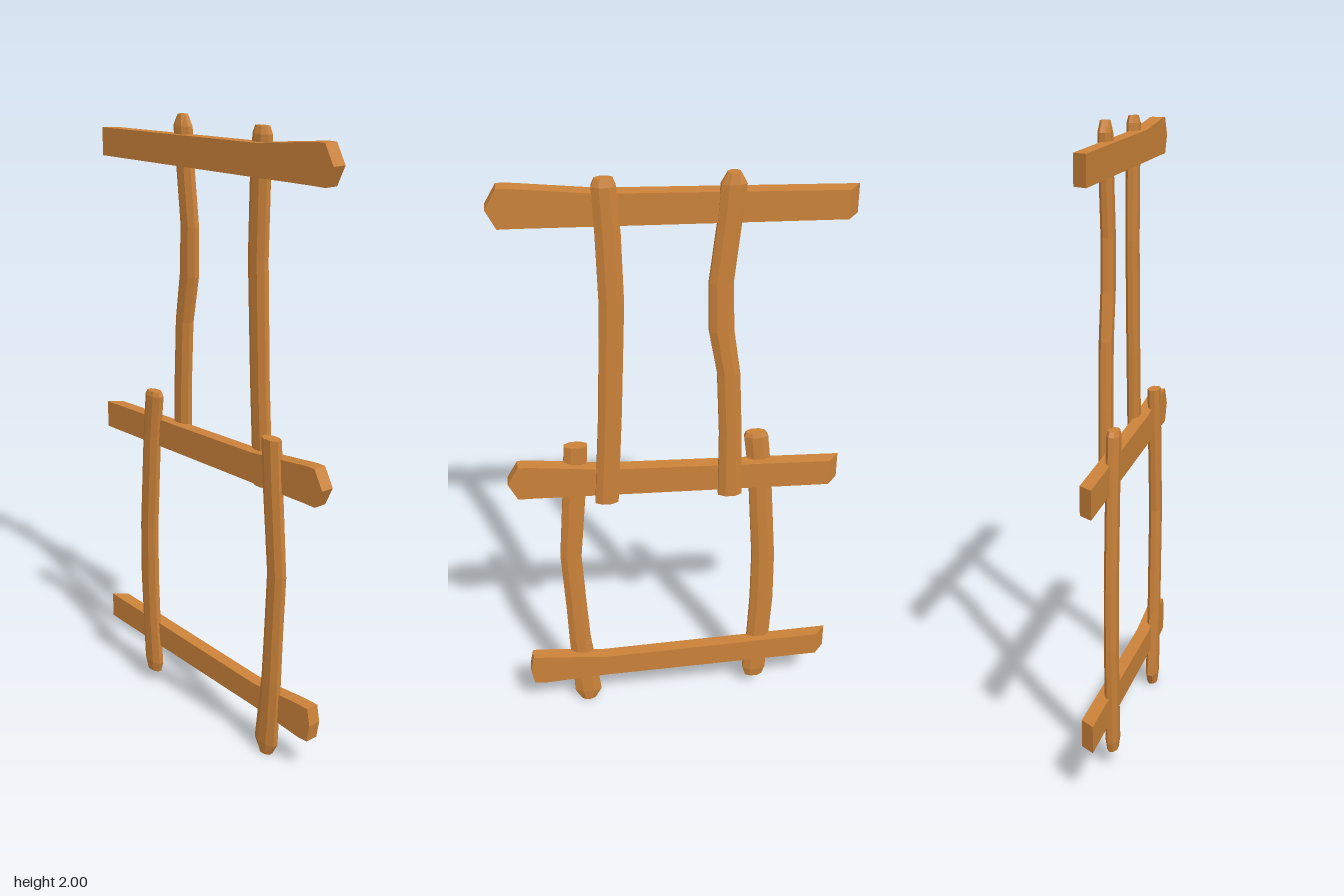
import * as THREE from 'three';

const wood = new THREE.MeshStandardMaterial({ color: 0xcb8239, flatShading: true });
wood.name = 'warm wood';

// Flat plank: side outline in (z, y), thickness from x0 to x1, mitred rear end
function plank(name, outline, x0, x1) {
  const shape = new THREE.Shape(outline.map(([z, y]) => new THREE.Vector2(-z, y)));
  const geo = new THREE.ExtrudeGeometry(shape, { depth: x1 - x0, bevelEnabled: false });
  geo.rotateY(Math.PI / 2).translate(x0, 0, 0);
  const p = geo.attributes.position;
  for (let i = 0; i < p.count; i++) {
    if (p.getZ(i) < -0.53 && p.getX(i) > (x0 + x1) / 2) p.setZ(i, -0.5);
  }
  geo.computeVertexNormals();
  const mesh = new THREE.Mesh(geo, wood);
  mesh.name = name;
  return mesh;
}

// Crooked pole: flattened octagonal rings, levels [y, z, halfWidth, depthScale] from bottom to top
function pole(name, levels, x, halfDepth) {
  const N = 8, pos = [];
  const point = (j, i) => {
    const [y, z, w, d = 1] = levels[j];
    const a = ((i + 0.5) / N) * Math.PI * 2, k = 1 / Math.cos(Math.PI / N);
    return [x + Math.cos(a) * halfDepth * d * k, y, z + Math.sin(a) * w * k];
  };
  const tri = (...pts) => pts.forEach((q) => pos.push(...q));
  const last = levels.length - 1;
  for (let i = 0; i < N; i++) {
    for (let j = 0; j < last; j++) {
      const a = point(j, i), b = point(j, i + 1), c = point(j + 1, i), d = point(j + 1, i + 1);
      tri(a, c, b);
      tri(b, c, d);
    }
    // End caps
    tri([x, levels[0][0], levels[0][1]], point(0, i), point(0, i + 1));
    tri([x, levels[last][0], levels[last][1]], point(last, i + 1), point(last, i));
  }
  const geo = new THREE.BufferGeometry();
  geo.setAttribute('position', new THREE.Float32BufferAttribute(pos, 3));
  geo.computeVertexNormals();
  const mesh = new THREE.Mesh(geo, wood);
  mesh.name = name;
  return mesh;
}

export function createModel() {
  const group = new THREE.Group();
  group.name = 'crookedWoodenFrame';

  // The upper two rails share one outline
  const rail = [[0.535, 1.92], [0.505, 1.86], [0.46, 1.86], [-0.535, 1.84],
    [-0.535, 1.93], [0.22, 1.953], [0.47, 1.98], [0.5, 1.98]];
  group.add(plank('topRail', rail, -0.018, 0.027));
  group.add(plank('middleRail', rail.map(([z, y]) => [z, y - 0.935]), -0.025, 0.018));
  group.add(plank('bottomRail', [[0.508, 0.19], [0.497, 0.13], [0.46, 0.127], [0.25, 0.142],
    [-0.535, 0.168], [-0.535, 0.255], [0.25, 0.225], [0.42, 0.242], [0.497, 0.246]], -0.025, 0.018));

  // Upper poles sit on the +x face of the rails
  group.add(pole('upperFrontPole', [[0.9, 0.223, 0.037], [1.235, 0.204, 0.036], [1.61, 0.19, 0.037],
    [1.83, 0.195, 0.037], [1.975, 0.203, 0.035], [1.998, 0.203, 0.026, 0.7]], 0.022, 0.02));
  group.add(pole('upperBackPole', [[0.9, -0.175, 0.038], [1.13, -0.172, 0.035], [1.35, -0.162, 0.035],
    [1.5, -0.137, 0.038], [1.66, -0.133, 0.036], [1.86, -0.155, 0.035], [1.965, -0.164, 0.037],
    [2, -0.164, 0.018, 0.7]], 0.022, 0.02));

  // Lower poles sit on the -x face of the rails
  group.add(pole('lowerFrontPole', [[0.004, 0.31, 0.024, 0.8], [0.045, 0.31, 0.046], [0.28, 0.33, 0.037],
    [0.44, 0.337, 0.035], [0.65, 0.347, 0.035], [0.93, 0.324, 0.037], [1.09, 0.314, 0.037]], -0.026, 0.02));
  group.add(pole('lowerBackPole', [[0.055, -0.287, 0.03, 0.8], [0.09, -0.287, 0.04], [0.25, -0.297, 0.038],
    [0.41, -0.304, 0.039], [0.6, -0.303, 0.038], [0.945, -0.28, 0.037], [1.085, -0.264, 0.038],
    [1.1, -0.262, 0.03, 0.8]], -0.026, 0.02));
  return group;
}
